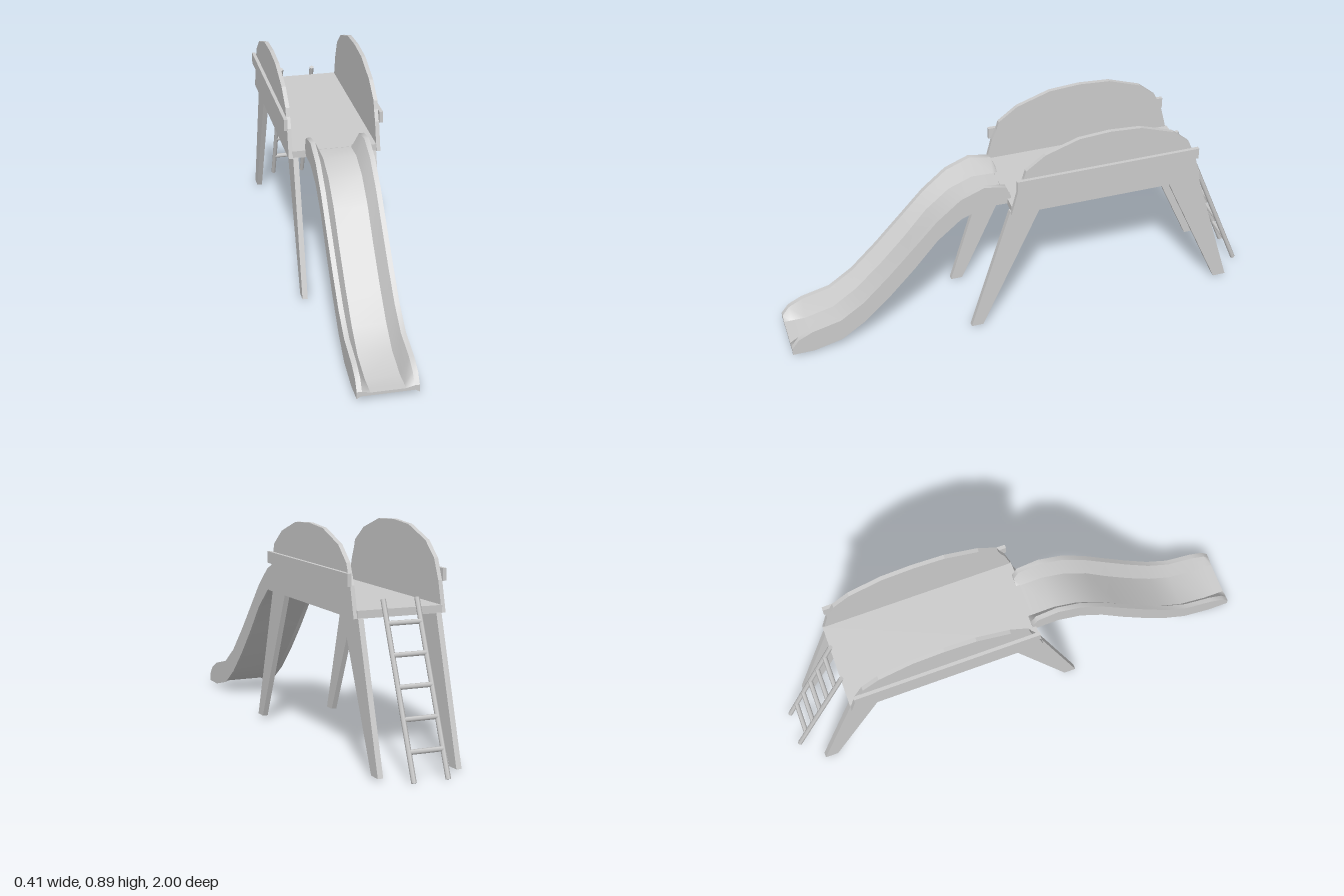
import * as THREE from 'three';

const material = new THREE.MeshStandardMaterial({ color: 0xcccccc, side: THREE.DoubleSide });

function addMesh(parent, name, geometry) {
  const mesh = new THREE.Mesh(geometry, material);
  mesh.name = name;
  parent.add(mesh);
  return mesh;
}

// Extrude a [z, y] outline across x from x0 to x1.
function sidePlate(outline, x0, x1) {
  const shape = new THREE.Shape(outline.map(([z, y]) => new THREE.Vector2(-z, y)));
  const geometry = new THREE.ExtrudeGeometry(shape, { depth: x1 - x0, bevelEnabled: false });
  return geometry.rotateY(Math.PI / 2).translate(x0, 0, 0);
}

function box(x, y0, y1, z0, z1) {
  return new THREE.BoxGeometry(x[1] - x[0], y1 - y0, z1 - z0)
    .translate((x[0] + x[1]) / 2, (y0 + y1) / 2, (z0 + z1) / 2);
}

// Hexagonal bar between two points.
function bar(a, b, radius) {
  const dir = b.clone().sub(a);
  const geometry = new THREE.CylinderGeometry(radius, radius, dir.length(), 6);
  geometry.applyQuaternion(new THREE.Quaternion().setFromUnitVectors(
    new THREE.Vector3(0, 1, 0), dir.normalize()));
  return geometry.translate(...a.clone().add(b).multiplyScalar(0.5).toArray());
}

// Slide stations: z, underside height, rim height.
const STATIONS = [
  [1.0, 0.01, 0.04], [0.97, 0.01, 0.08], [0.91, 0.01, 0.11], [0.79, 0.04, 0.14],
  [0.69, 0.11, 0.21], [0.58, 0.215, 0.32], [0.47, 0.335, 0.44], [0.37, 0.455, 0.55],
  [0.27, 0.54, 0.635], [0.17, 0.58, 0.675], [0.08, 0.577, 0.658], [0.06, 0.577, 0.61],
];

// Channel cross-section, counter-clockwise seen from the front.
function slideSection([z, bottom, rim]) {
  const half = [[0.105, bottom + 0.01], [0.12, bottom], [0.12, rim], [0.1, rim], [0.068, bottom + 0.022]];
  const mirrored = half.map(([x, y]) => [-x, y]).reverse();
  return [...half, ...mirrored].map(([x, y]) => [x, y, z]);
}

function slideGeometry() {
  const rings = STATIONS.map(slideSection);
  const positions = [];
  const index = [];
  const sides = rings[0].length;
  // One strip per section edge: smooth along the slide, sharp across it.
  for (let k = 0; k < sides; k++) {
    const start = positions.length / 3;
    rings.forEach((ring, i) => {
      positions.push(...ring[k], ...ring[(k + 1) % sides]);
      if (i === 0) return;
      const a = start + 2 * (i - 1);
      index.push(a, a + 2, a + 1, a + 1, a + 2, a + 3);
    });
  }
  // End caps.
  [rings[0], rings[rings.length - 1]].forEach((ring, end) => {
    const start = positions.length / 3;
    ring.forEach((p) => positions.push(...p));
    const outline = ring.map(([x, y]) => new THREE.Vector2(x, y));
    for (const [a, b, c] of THREE.ShapeUtils.triangulateShape(outline, [])) {
      index.push(start + a, start + (end ? c : b), start + (end ? b : c));
    }
  });
  const geometry = new THREE.BufferGeometry();
  geometry.setAttribute('position', new THREE.Float32BufferAttribute(positions, 3));
  geometry.setIndex(index);
  geometry.computeVertexNormals();
  return geometry;
}

export function createModel() {
  const model = new THREE.Group();
  model.name = 'playgroundSlide';

  // Platform
  addMesh(model, 'deck', box([-0.176, 0.176], 0.57, 0.6, -0.735, 0.075));

  const panel = [
    [0.08, 0.57], [0.05, 0.69], [0.03, 0.735], [0.02, 0.77], [-0.06, 0.83], [-0.2, 0.878], [-0.33, 0.887],
    [-0.46, 0.878], [-0.6, 0.83], [-0.67, 0.77], [-0.685, 0.735], [-0.705, 0.69], [-0.735, 0.57],
  ];
  const frontLeg = [[0.08, 0.572], [-0.05, 0.572], [0.2, 0.01], [0.25, 0.01]];
  const backLeg = [[-0.735, 0.572], [-0.6, 0.572], [-0.85, 0.01], [-0.905, 0.01]];

  // Arched guards, rails and legs on both sides
  for (const side of [1, -1]) {
    const label = side > 0 ? 'left' : 'right';
    const span = (a, b) => (side > 0 ? [a, b] : [-b, -a]);
    addMesh(model, `${label}SidePanel`, sidePlate(panel, ...span(0.174, 0.191)));
    addMesh(model, `${label}HandRail`, box(span(0.19, 0.205), 0.687, 0.735, -0.713, 0.06));
    addMesh(model, `${label}FrontLeg`, sidePlate(frontLeg, ...span(0.151, 0.173)));
    addMesh(model, `${label}BackLeg`, sidePlate(backLeg, ...span(0.151, 0.173)));
  }

  // Chute
  addMesh(model, 'slide', slideGeometry());

  // Ladder
  const ladder = new THREE.Group();
  ladder.name = 'ladder';
  model.add(ladder);
  const at = (x, t) => new THREE.Vector3(x, 0.636 - 0.632 * t, -0.732 - 0.258 * t);
  for (const x of [0.07, -0.07]) addMesh(ladder, 'ladderRail', bar(at(x, 0), at(x, 1), 0.01));
  for (let i = 0; i < 5; i++) {
    const t = 0.135 + i * 0.175;
    addMesh(ladder, 'rung', bar(at(-0.07, t), at(0.07, t), 0.01));
  }
  return model;
}
